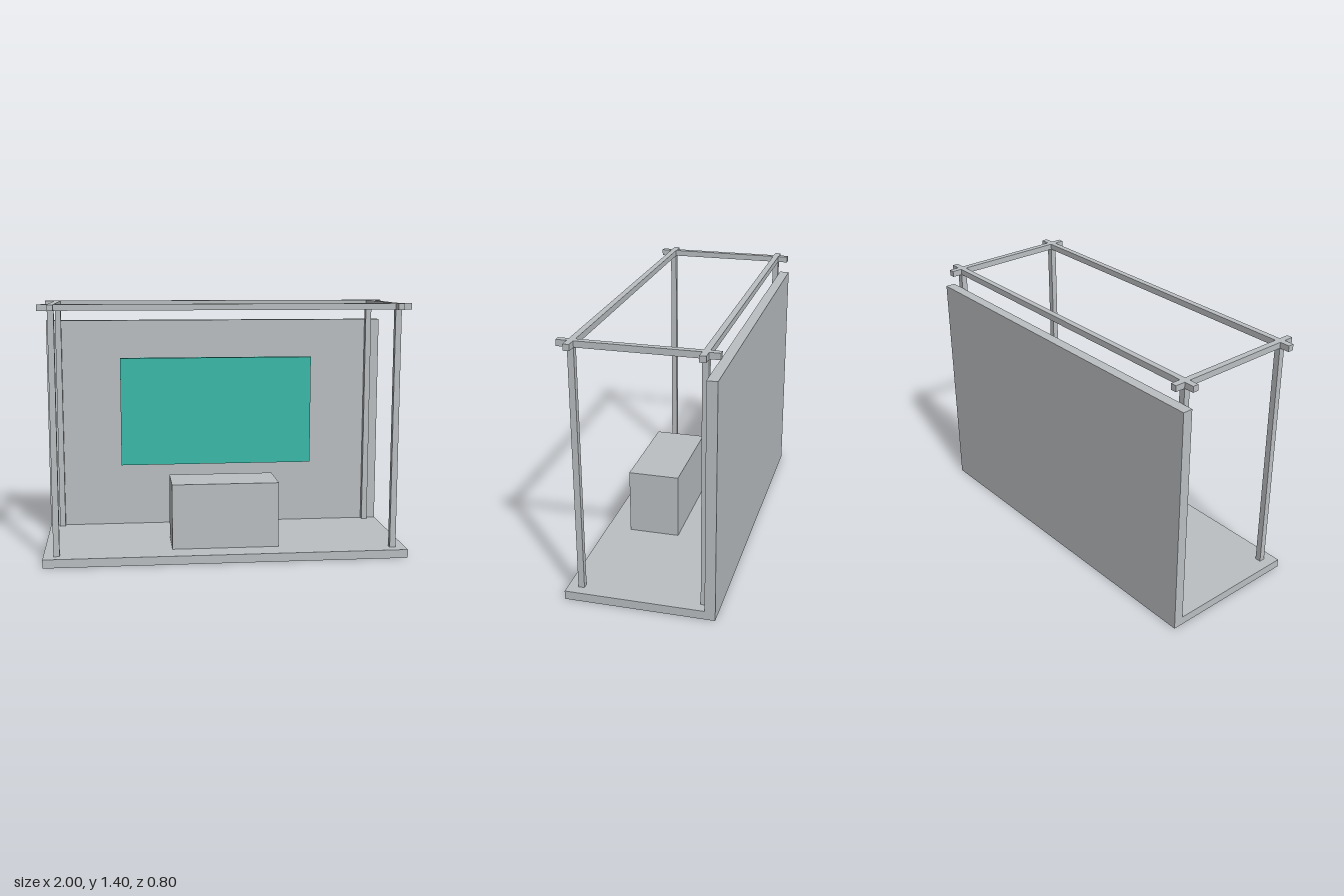
import * as THREE from 'three';

export function createModel() {
  const model = new THREE.Group();
  model.name = 'exhibitionBooth';

  const grey = new THREE.MeshStandardMaterial({ color: 0xbcc0c3 });
  grey.name = 'light grey';
  const teal = new THREE.MeshStandardMaterial({ color: 0x3cbcac });
  teal.name = 'teal';

  // Box given by its extents along each axis
  function addBox(name, material, [x0, x1], [y0, y1], [z0, z1]) {
    const mesh = new THREE.Mesh(new THREE.BoxGeometry(x1 - x0, y1 - y0, z1 - z0), material);
    mesh.position.set((x0 + x1) / 2, (y0 + y1) / 2, (z0 + z1) / 2);
    mesh.name = name;
    model.add(mesh);
  }
  const around = (centre, size) => [centre - size / 2, centre + size / 2];

  const floorTop = 0.047, beamBottom = 1.367, height = 1.4;
  const barX = 0.928, barZ = 0.328, bar = 0.033;

  // Floor slab and back wall
  addBox('floor', grey, [-1, 1], [0, floorTop], [-0.4, 0.4]);
  addBox('backWall', grey, [-1, 1], [floorTop, 1.283], [-0.4, -0.345]);

  // Counter standing on the floor
  addBox('counter', grey, [-0.297, 0.297], [floorTop, 0.411], [-0.02, 0.263]);

  // Screen with a thin recessed backing
  addBox('screen', teal, [-0.57, 0.57], [0.423, 1.063], [-0.306, -0.269]);
  addBox('screenBacking', grey, [-0.53, 0.53], [0.457, 1.03], [-0.312, -0.306]);

  // Corner posts
  for (const sx of [-1, 1]) {
    for (const sz of [-1, 1]) {
      const name = (sz > 0 ? 'front' : 'back') + (sx > 0 ? 'Left' : 'Right') + 'Post';
      addBox(name, grey, around(sx * barX, bar), [floorTop, beamBottom], around(sz * barZ, bar));
    }
  }

  // Roof beams crossing beyond the posts
  for (const s of [-1, 1]) {
    addBox(s > 0 ? 'frontBeam' : 'backBeam', grey, [-1, 1], [beamBottom, height], around(s * barZ, bar));
    addBox(s > 0 ? 'leftBeam' : 'rightBeam', grey, around(s * barX, bar), [beamBottom, height], [-0.4, 0.4]);
  }

  return model;
}
